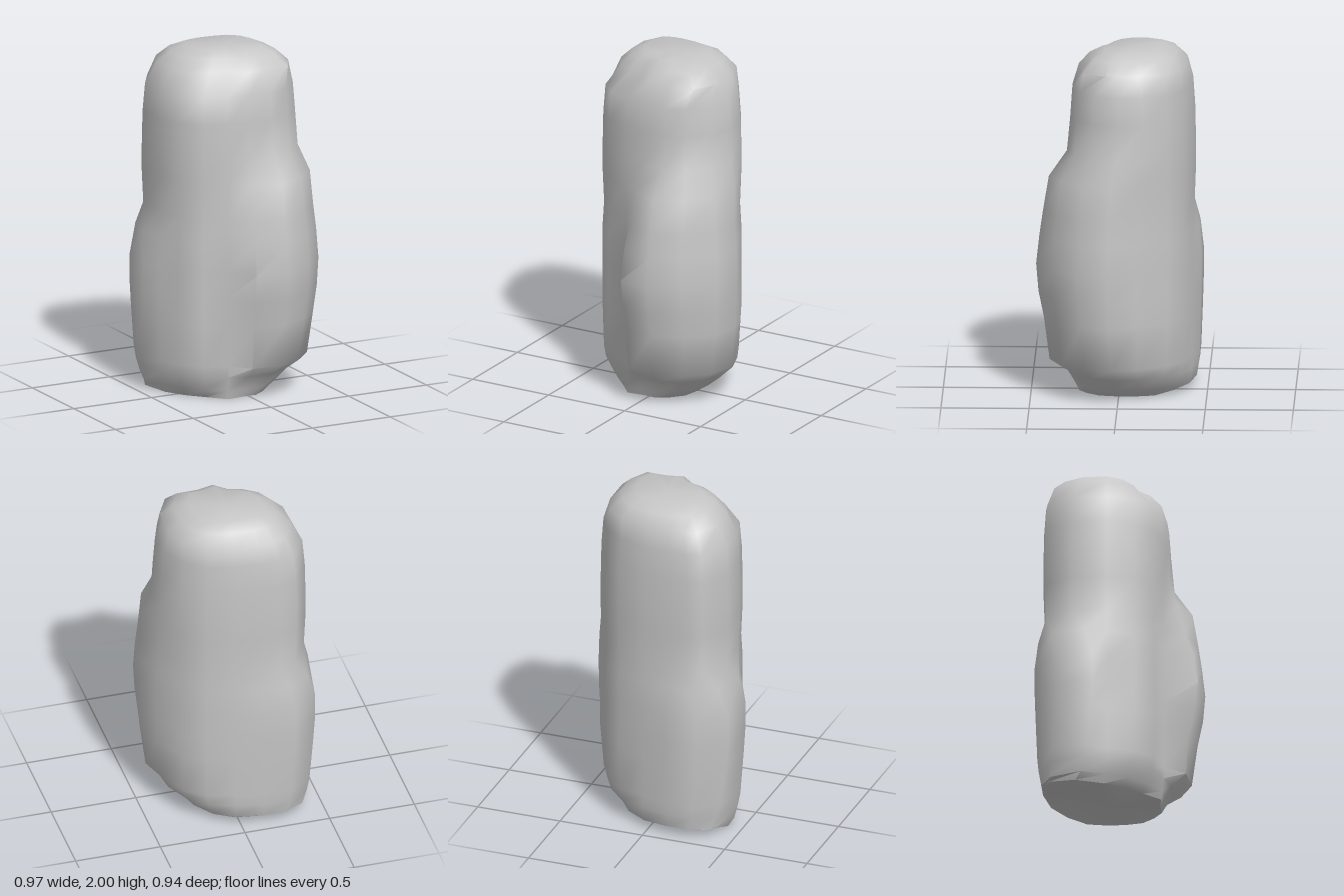
import * as THREE from 'three';
import { toCreasedNormals } from 'three/addons/utils/BufferGeometryUtils.js';

const CENTRE_Z = -0.08;

// Plan outlines as x, z pairs, running from +x towards +z
const column = [
  [0.405, 0], [0.35, 0.145], [0.25, 0.24], [0.13, 0.28], [-0.02, 0.28], [-0.14, 0.25],
  [-0.28, 0.21], [-0.38, 0.1], [-0.42, -0.05], [-0.43, -0.25], [-0.33, -0.41], [-0.24, -0.425],
  [-0.14, -0.43], [0.03, -0.41], [0.19, -0.37], [0.31, -0.28], [0.39, -0.14],
];
const crown = [
  [0.34, 0], [0.34, 0.07], [0.27, 0.2], [0.12, 0.2], [0, 0.23], [-0.09, 0.15],
  [-0.19, 0.12], [-0.29, 0.05], [-0.35, -0.06], [-0.35, -0.22], [-0.28, -0.36], [-0.2, -0.38],
  [-0.12, -0.39], [0.03, -0.38], [0.18, -0.35], [0.29, -0.26], [0.34, -0.12],
];
// Outline corners that move for the low front bulge, its sharp corner, the low back bulge and the undercut foot
const front = { 0: [0.48, 0.06], 1: [0.45, 0.23], 2: [0.31, 0.38], 3: [0.13, 0.47], 16: [0.41, -0.1] };
const corner = { 4: [-0.06, 0.44] };
const back = { 9: [-0.485, -0.13], 10: [-0.46, -0.34], 11: [-0.31, -0.47], 12: [-0.12, -0.46] };
const foot = {
  0: [0.2, 0.02], 1: [0.18, 0.12], 2: [0.12, 0.19], 3: [0.05, 0.24], 4: [-0.05, 0.24],
  6: [-0.23, 0.15], 7: [-0.32, 0.05], 8: [-0.39, -0.07],
  14: [0.13, -0.32], 15: [0.18, -0.21], 16: [0.2, -0.09],
};

// outline, height, scale, front bulge, corner, back bulge, foot
const levels = [
  [column, 0.00, 0.96, 0, 0, 0.1, 1],
  [column, 0.05, 0.98, 0, 0, 0.4, 0.65],
  [column, 0.13, 1, 0.1, 0.1, 0.55, 0.25],
  [column, 0.20, 1, 0.62, 0.6, 0.7, 0.1],
  [column, 0.45, 1, 0.77, 0.68, 0.9, 0],
  [column, 0.60, 1, 0.93, 0.9, 1, 0],
  [column, 0.76, 1, 1, 1, 1, 0],
  [column, 0.93, 1, 0.9, 0.85, 0.6, 0],
  [column, 1.07, 0.98, 0.85, 0.6, 0, 0],
  [column, 1.27, 1, 0.62, 0.25, 0, 0],
  [column, 1.42, 1, 0.08, 0, 0, 0],
  [column, 1.62, 0.99, 0, 0, 0, 0],
  [column, 1.78, 0.96, 0, 0, 0, 0],
  [crown, 1.90, 1, 0, 0, 0, 0],
  [crown, 1.965, 0.8, 0, 0, 0, 0],
  [crown, 2.00, 0.57, 0, 0, 0, 0],
];

function rockGeometry() {
  const sides = column.length;
  const shapes = [front, corner, back, foot];
  const positions = [];
  const index = [];
  levels.forEach(([outline, y, scale, ...amounts], row) => {
    outline.forEach(([px, pz], i) => {
      let x = px, z = pz;
      shapes.forEach((shape, k) => {
        if (!shape[i]) return;
        x += (shape[i][0] - px) * amounts[k];
        z += (shape[i][1] - pz) * amounts[k];
      });
      // the underside lifts slightly towards the back
      const lift = row === 0 ? Math.max(0, -z - 0.2) * 0.2 : 0;
      positions.push(x * scale, y + lift, (z - CENTRE_Z) * scale + CENTRE_Z);
    });
  });

  // Skin between neighbouring sections
  for (let row = 0; row < levels.length - 1; row++) {
    for (let i = 0; i < sides; i++) {
      const a = row * sides + i, b = row * sides + ((i + 1) % sides);
      const c = a + sides, d = b + sides;
      index.push(a, c, b, b, c, d);
    }
  }

  // Top and bottom fans
  const bottom = positions.length / 3;
  positions.push(-0.08, 0, -0.06, 0, 2, CENTRE_Z);
  const lastRow = (levels.length - 1) * sides;
  for (let i = 0; i < sides; i++) {
    const next = (i + 1) % sides;
    index.push(bottom, i, next);
    index.push(bottom + 1, lastRow + next, lastRow + i);
  }

  const geometry = new THREE.BufferGeometry();
  geometry.setAttribute('position', new THREE.Float32BufferAttribute(positions, 3));
  geometry.setIndex(index);
  return toCreasedNormals(geometry, 1);
}

export function createModel() {
  const group = new THREE.Group();
  group.name = 'rockPillar';
  const stone = new THREE.MeshStandardMaterial({ color: 0xc6c6c6 });
  stone.name = 'grey stone';
  const rock = new THREE.Mesh(rockGeometry(), stone);
  rock.name = 'rock';
  group.add(rock);
  return group;
}
